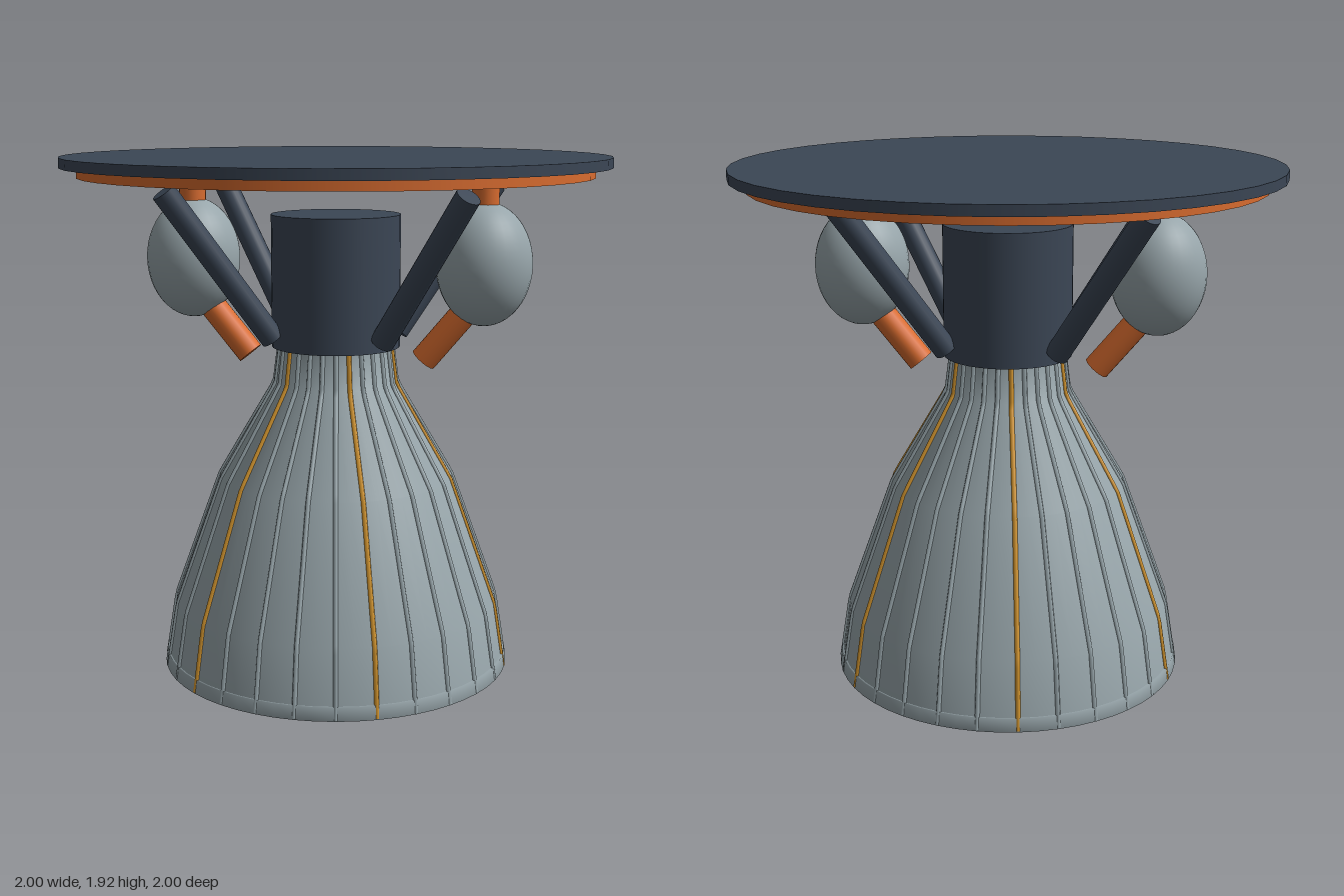
import * as THREE from 'three';

export function createModel() {
  const model = new THREE.Group();
  const mat = (name, color, side = THREE.FrontSide) => {
    const m = new THREE.MeshStandardMaterial({ color, side });
    m.name = name;
    return m;
  };
  const slate = mat('slate', 0x3b4655);
  const steel = mat('steel grey', 0x98a6ab, THREE.DoubleSide);
  const orange = mat('orange', 0xd96c2f);
  const gold = mat('gold', 0xd4962f);

  const add = (name, geometry, material, x = 0, y = 0, z = 0) => {
    const mesh = new THREE.Mesh(geometry, material);
    mesh.name = name;
    mesh.position.set(x, y, z);
    model.add(mesh);
    return mesh;
  };
  // Round rod between two points
  const rod = (name, a, b, radius, material) => {
    const from = new THREE.Vector3(...a), to = new THREE.Vector3(...b);
    const dir = to.clone().sub(from);
    const mesh = add(name, new THREE.CylinderGeometry(radius, radius, dir.length(), 20), material);
    mesh.position.copy(from).add(to).multiplyScalar(0.5);
    mesh.quaternion.setFromUnitVectors(new THREE.Vector3(0, 1, 0), dir.normalize());
  };

  // Mounting plates
  add('topPlate', new THREE.CylinderGeometry(1, 1, 0.037, 40), slate, 0, 1.904);
  add('underPlate', new THREE.CylinderGeometry(0.94, 0.94, 0.036, 40), orange, 0, 1.868);

  // Chamber
  add('chamber', new THREE.CylinderGeometry(0.24, 0.24, 0.49, 40), slate, 0, 1.465);

  // Open bell nozzle
  const profile = [[0.655, 0], [0.615, 0.25], [0.44, 0.73], [0.23, 1.085], [0.212, 1.225]];
  add('nozzleBell', new THREE.LatheGeometry(profile.map(p => new THREE.Vector2(...p)), 56), steel);

  // Band around the nozzle lip
  const lip = [[0.645, 0], [0.661, 0], [0.654, 0.05], [0.645, 0.05]];
  add('nozzleLip', new THREE.LatheGeometry(lip.map(p => new THREE.Vector2(...p)), 56), steel);

  // Cooling ribs down the bell, every fifth one gold
  const ribPath = new THREE.CurvePath();
  for (let i = 0; i < profile.length - 1; i++) {
    const [r0, y0] = profile[i], [r1, y1] = profile[i + 1];
    ribPath.add(new THREE.LineCurve3(
      new THREE.Vector3(r0, y0 + (i ? 0 : 0.003), 0), new THREE.Vector3(r1, y1, 0)));
  }
  const ribGeometry = new THREE.TubeGeometry(ribPath, 40, 0.009, 6);
  const ribCount = 28;
  for (let i = 0; i < ribCount; i++) {
    const rib = add('rib', ribGeometry, i % 5 === 0 ? gold : steel);
    rib.rotation.y = -i / ribCount * Math.PI * 2;
  }

  for (const s of [-1, 1]) {
    // Pressure tank with its feed pipes
    const tank = add('tank', new THREE.SphereGeometry(0.176, 32, 24), steel, s * 0.552, 1.538);
    tank.scale.y = 1.28;
    rod('upperPipe', [s * 0.552, 1.6, 0], [s * 0.552, 1.86, 0], 0.05, orange);
    rod('lowerPipe', [s * 0.53, 1.415, 0], [s * 0.333, 1.178, 0], 0.05, orange);
    // Slanted struts
    for (const t of [-1, 1]) {
      rod('strut', [s * 0.205, 1.26, t * 0.145], [s * 0.54, 1.805, t * 0.36], 0.045, slate);
    }
  }
  return model;
}
